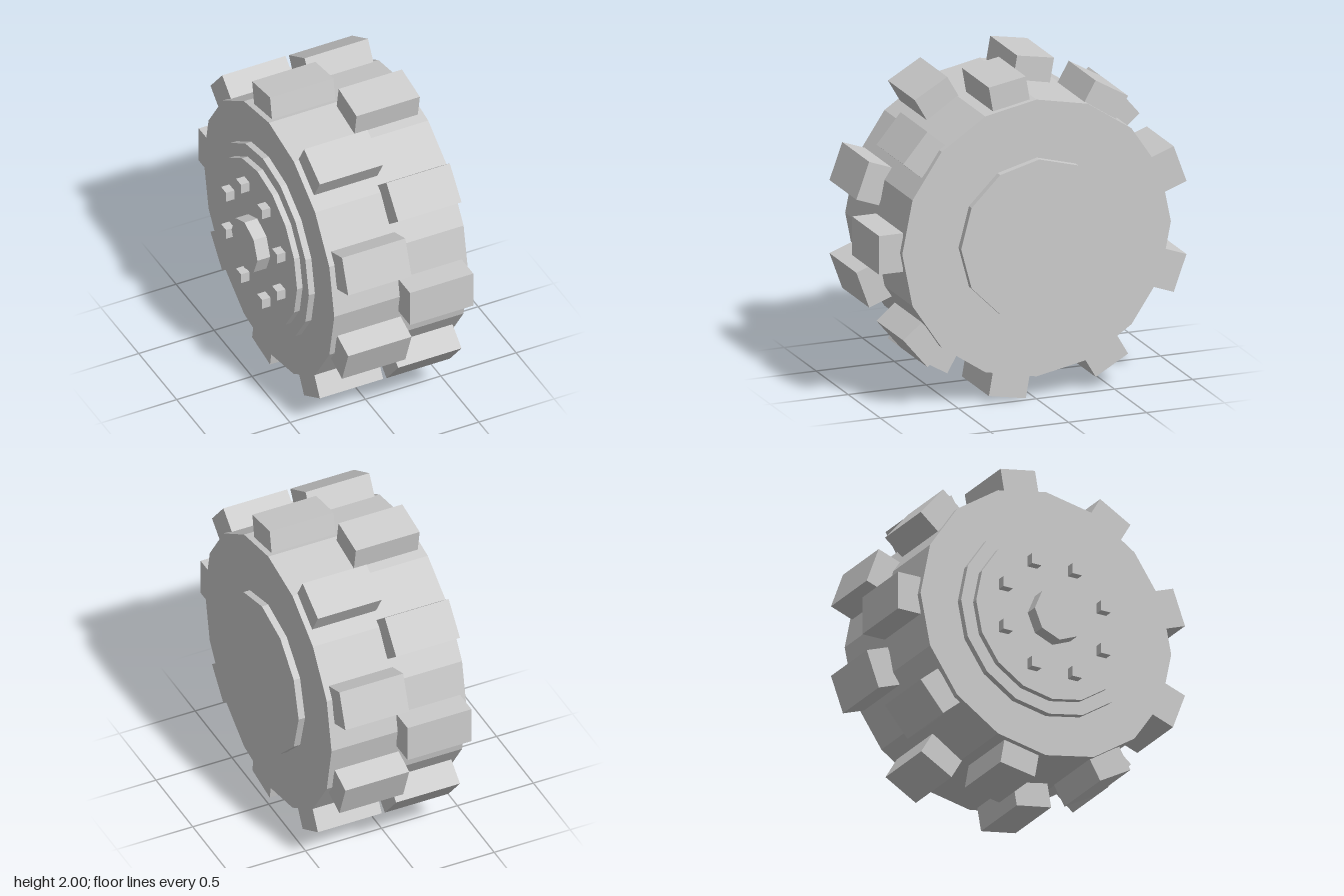
import * as THREE from 'three';

export function createModel() {
  const model = new THREE.Group();
  model.name = 'wheel';
  const grey = new THREE.MeshStandardMaterial({ color: 0xcccccc, flatShading: true });
  grey.name = 'grey';
  const axleY = 1;

  // Faceted disc lying along the x axle, from x0 to x1
  function disc(name, radius, x0, x1, sides) {
    const geo = new THREE.CylinderGeometry(radius, radius, x1 - x0, sides);
    geo.rotateZ(-Math.PI / 2);
    const mesh = new THREE.Mesh(geo, grey);
    mesh.name = name;
    mesh.position.set((x0 + x1) / 2, axleY, 0);
    model.add(mesh);
  }

  disc('tire', 0.86, -0.388, 0.503, 16);
  disc('innerCap', 0.5, 0.503, 0.545, 12);
  disc('outerRim', 0.605, -0.428, -0.388, 16);
  disc('rimPlate', 0.523, -0.465, -0.428, 16);
  disc('hub', 0.17, -0.55, -0.465, 8);

  // Wheel bolts around the hub, all kept square to the axes
  const boltGeo = new THREE.BoxGeometry(0.055, 0.066, 0.066);
  for (let i = 0; i < 8; i++) {
    const a = (i + 0.5) * Math.PI / 4;
    const bolt = new THREE.Mesh(boltGeo, grey);
    bolt.name = 'bolt';
    bolt.position.set(-0.4925, axleY + 0.363 * Math.sin(a), 0.363 * Math.cos(a));
    model.add(bolt);
  }

  // Tread lugs: two rows of nine, staggered by 20 degrees
  const lugGeo = new THREE.BoxGeometry(0.42, 0.24, 0.154);
  for (let i = 0; i < 18; i++) {
    const a = i * Math.PI / 9;
    const lug = new THREE.Mesh(lugGeo, grey);
    lug.name = i % 2 ? 'outerTreadLug' : 'innerTreadLug';
    lug.position.set(i % 2 ? -0.143 : 0.257, axleY + 0.917 * Math.sin(a), 0.917 * Math.cos(a));
    lug.rotation.x = -a;
    model.add(lug);
  }

  return model;
}
